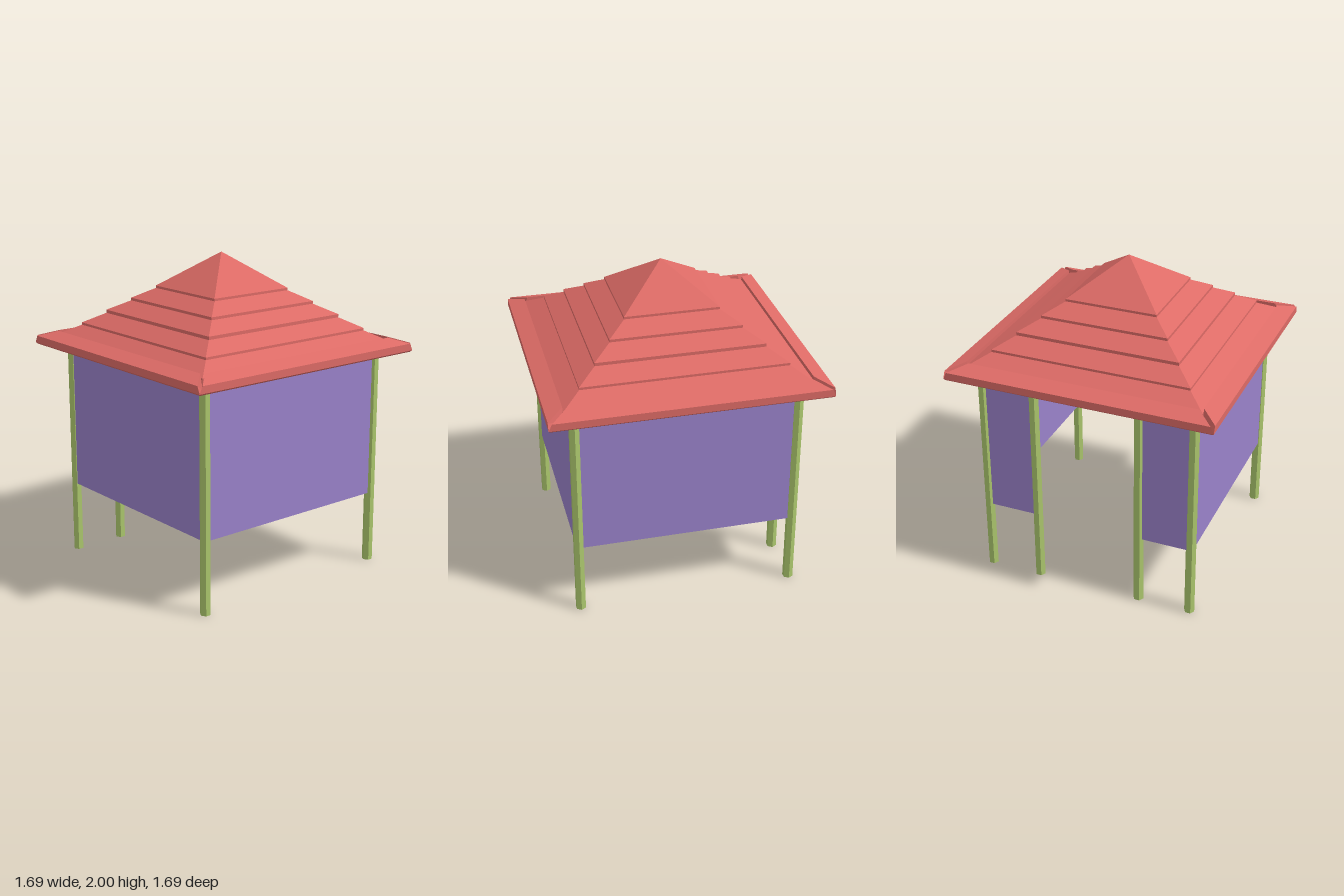
import * as THREE from 'three';

const material = (color) =>
  new THREE.MeshStandardMaterial({ color, flatShading: true, side: THREE.DoubleSide });

export function createModel() {
  const model = new THREE.Group();
  const red = material(0xdd6b66);
  const green = material(0xabc66c);
  const purple = material(0x9a82ca);

  const add = (name, geometry, mat, x = 0, y = 0, z = 0) => {
    const mesh = new THREE.Mesh(geometry, mat);
    mesh.name = name;
    mesh.position.set(x, y, z);
    model.add(mesh);
    return mesh;
  };
  const faceted = (geometry) => {
    const flat = geometry.toNonIndexed();
    flat.computeVertexNormals();
    return flat;
  };

  // Hollow stepped roof: a four-sided lathe, profile given as half-width and height
  const profile = [
    [0, 1.95], [0.27, 1.74], [0.62, 1.47], [0.62, 1.392], [0.745, 1.392], [0.745, 1.455],
    [0.63, 1.52], [0.63, 1.535], [0.517, 1.6], [0.517, 1.62], [0.404, 1.683],
    [0.404, 1.7], [0.292, 1.765], [0.292, 1.78], [0, 2],
  ].map(([d, y]) => new THREE.Vector2(d * Math.SQRT2, y));
  add('steppedRoof', faceted(new THREE.LatheGeometry(profile, 4, Math.PI / 4)), red);

  // Eave boards: mitred ends that open into a V groove towards the top
  const section = [[0.745, 1.39], [0.835, 1.39], [0.845, 1.4], [0.845, 1.445], [0.745, 1.48]];
  const shape = new THREE.Shape(section.map(([d, y]) => new THREE.Vector2(d, y)));
  const board = new THREE.ExtrudeGeometry(shape, { depth: 1, bevelEnabled: false });
  const pos = board.attributes.position;
  for (let i = 0; i < pos.count; i++) {
    const d = pos.getX(i), y = pos.getY(i), t = pos.getZ(i);
    const gap = y > 1.42 ? 0.02 : 0;
    pos.setXYZ(i, (1 - 2 * t) * (d - gap), y, d);
  }
  board.computeVertexNormals();
  for (let i = 0; i < 4; i++) add('eaveBoard', board, red).rotation.y = (i * Math.PI) / 2;

  // Hexagonal posts: four corners and two beside the entrance
  const P = 0.677, postHeight = 1.395;
  const post = faceted(new THREE.CylinderGeometry(0.033, 0.033, postHeight, 6));
  for (const z of [-P, P]) {
    for (const x of [-P, P]) add('cornerPost', post, green, x, postHeight / 2, z);
    add('entrancePost', post, green, -P, postHeight / 2, z / 2);
  }

  // Wall panels: three full sides and two short ones beside the entrance
  const T = 0.025, H = 0.9, midY = 0.91;
  for (const s of [-1, 1]) {
    add('wallPanel', new THREE.BoxGeometry(2 * P, H, T), purple, 0, midY, s * P);
    add('entrancePanel', new THREE.BoxGeometry(T, H, P / 2), purple, -P, midY, s * P * 0.75);
  }
  add('sidePanel', new THREE.BoxGeometry(T, H, 2 * P), purple, P, midY, 0);

  return model;
}
